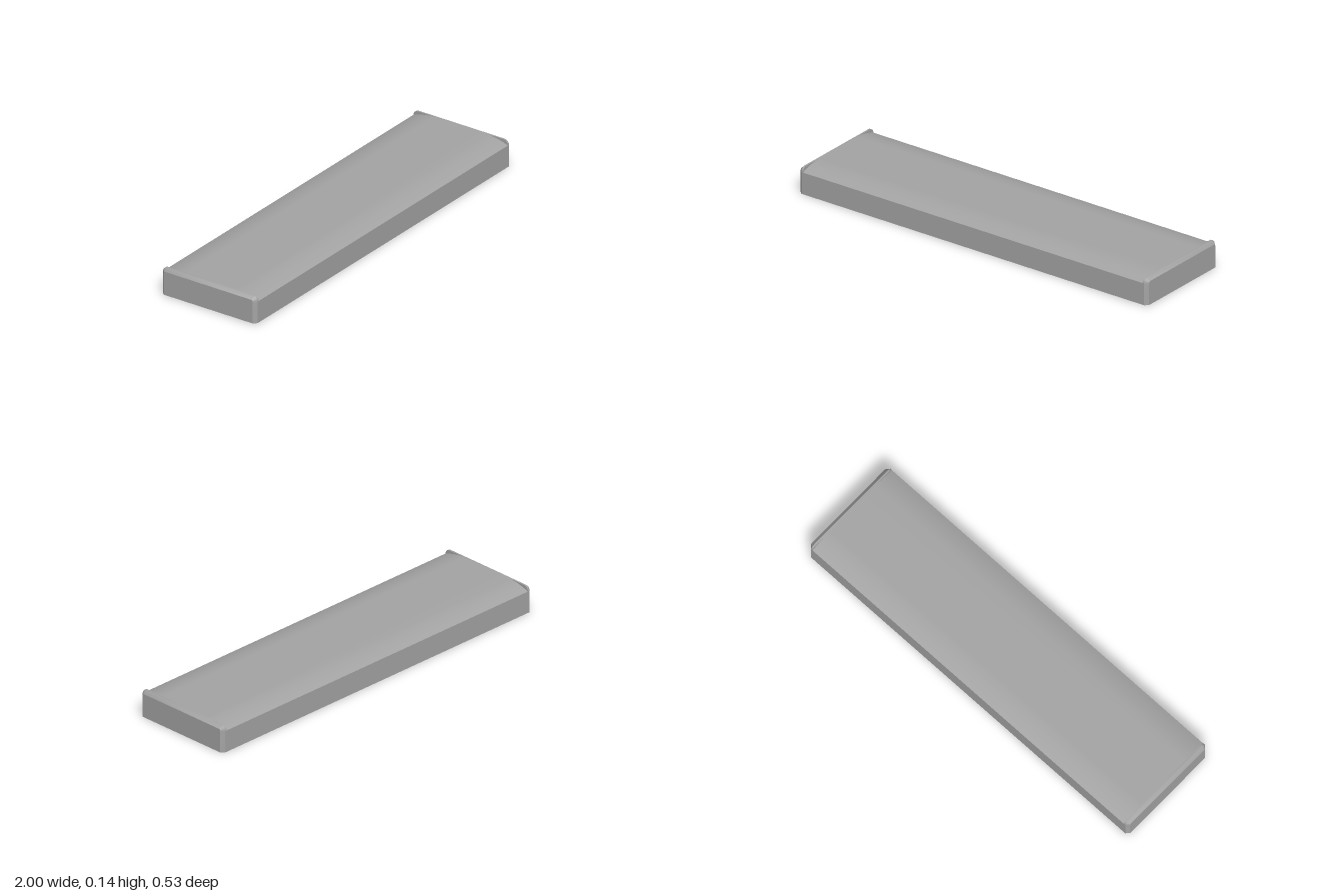
import * as THREE from 'three';
import { toCreasedNormals } from 'three/addons/utils/BufferGeometryUtils.js';

const HALF_W = 0.267, HEIGHT = 0.135, EDGE_Y = 0.11;
const RADIUS = 0.025, CHAMFER = 0.016, RIM = 0.025, INNER_X = 1 - RIM;

// Slab section: upright sides, flat crown easing down to both long edges
function bodyShape() {
  const flat = 0.14, mid = (HALF_W + flat) / 2;
  const s = new THREE.Shape();
  s.moveTo(-HALF_W, 0);
  s.lineTo(HALF_W, 0);
  s.lineTo(HALF_W, EDGE_Y);
  s.quadraticCurveTo(mid, HEIGHT, flat, HEIGHT);
  s.lineTo(-flat, HEIGHT);
  s.quadraticCurveTo(-mid, HEIGHT, -HALF_W, EDGE_Y);
  s.closePath();
  return s;
}

// End cap section: rectangle with rounded top corners
function capShape() {
  const c = HALF_W - RADIUS, cy = HEIGHT - RADIUS;
  const s = new THREE.Shape();
  s.moveTo(-HALF_W, 0);
  s.lineTo(HALF_W, 0);
  s.lineTo(HALF_W, cy);
  s.absarc(c, cy, RADIUS, 0, Math.PI / 2, false);
  s.lineTo(-c, HEIGHT);
  s.absarc(-c, cy, RADIUS, Math.PI / 2, Math.PI, false);
  s.closePath();
  return s;
}

// Cap with its outer edge chamfered along the sides and top
function capGeometry() {
  const g = new THREE.ExtrudeGeometry(capShape(), { depth: RIM, steps: 2, bevelEnabled: false, curveSegments: 10 });
  const p = g.attributes.position, k = (RADIUS - CHAMFER) / RADIUS;
  for (let i = 0; i < p.count; i++) {
    const x = p.getX(i), y = p.getY(i), z = p.getZ(i);
    if (z > RIM * 0.9) {
      const cx = THREE.MathUtils.clamp(x, RADIUS - HALF_W, HALF_W - RADIUS);
      const cy = Math.min(y, HEIGHT - RADIUS);
      p.setXY(i, cx + (x - cx) * k, cy + (y - cy) * k);
    } else if (z > RIM * 0.1) {
      p.setZ(i, RIM - CHAMFER);
    }
  }
  g.translate(0, 0, INNER_X);
  g.rotateY(Math.PI / 2);
  return toCreasedNormals(g, 0.5);
}

export function createModel() {
  const group = new THREE.Group();
  group.name = 'slab';
  const material = new THREE.MeshStandardMaterial({ color: 0xa4a4a4 });
  const add = (name, geometry) => {
    const mesh = new THREE.Mesh(geometry, material);
    mesh.name = name;
    group.add(mesh);
    return mesh;
  };

  // Long body with crowned top
  const body = new THREE.ExtrudeGeometry(bodyShape(), { depth: 2 * INNER_X, bevelEnabled: false, curveSegments: 16 });
  body.translate(0, 0, -INNER_X);
  body.rotateY(Math.PI / 2);
  add('body', toCreasedNormals(body, 0.5));

  // Matching caps at both ends
  const cap = capGeometry();
  add('leftEndCap', cap);
  add('rightEndCap', cap).rotation.y = Math.PI;

  return group;
}
